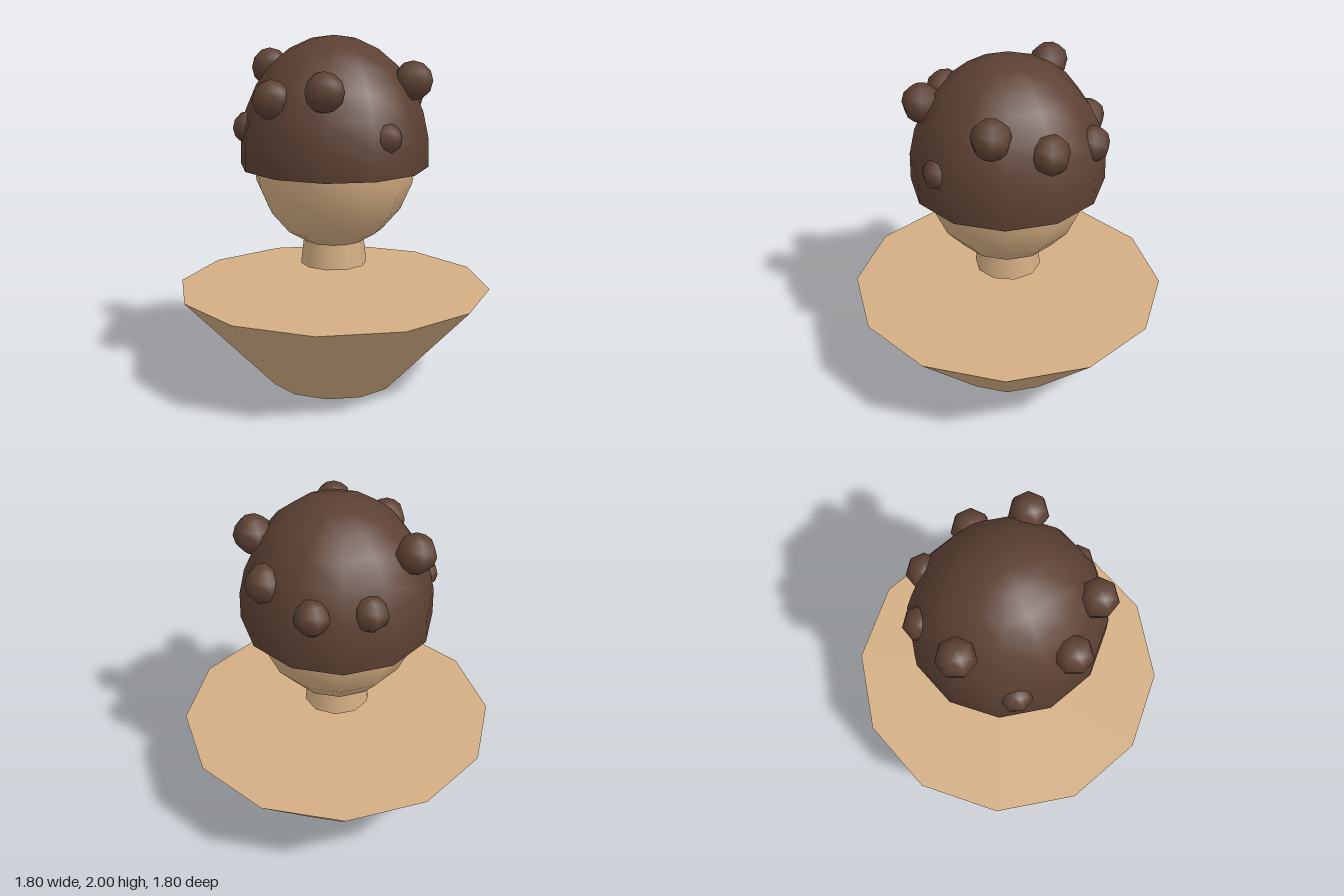
import * as THREE from 'three';

export function createModel() {
  const model = new THREE.Group();
  const skin = new THREE.MeshStandardMaterial({ color: 0xd2ad82 });
  skin.name = 'tan skin';
  const hair = new THREE.MeshStandardMaterial({ color: 0x5c4033, side: THREE.DoubleSide });
  hair.name = 'dark brown hair';

  function add(name, geometry, material, x, y, z, sx = 1, sy = 1, sz = 1) {
    const mesh = new THREE.Mesh(geometry, material);
    mesh.name = name;
    mesh.position.set(x, y, z);
    mesh.scale.set(sx, sy, sz);
    model.add(mesh);
  }

  // Shoulders: twelve-sided bust that narrows to the ground
  add('shoulders', new THREE.CylinderGeometry(0.9, 0.37, 0.56, 12), skin, 0, 0.28, 0);

  // Neck, floating above the shoulders and running up into the head
  add('neck', new THREE.CylinderGeometry(0.16, 0.19, 0.25, 10), skin, 0, 0.825, 0);

  // Egg-shaped head
  add('head', new THREE.SphereGeometry(1, 12, 10), skin, 0, 1.34, 0, 0.468, 0.54, 0.475);

  // Hair cap: open dome reaching just past its widest ring
  const dome = new THREE.SphereGeometry(1, 12, 7, 0, Math.PI * 2, 0, Math.PI * 0.534);
  add('hairCap', dome, hair, 0, 1.34, 0, 0.535, 0.66, 0.55);

  // Curls half sunk into the cap: x, y, z, radius
  const curls = [
    [0.345, 1.76, 0.29, 0.11],
    [0.09, 1.48, 0.465, 0.09],
    [-0.235, 1.735, 0.4, 0.11],
    [-0.435, 1.68, 0.16, 0.108],
    [-0.45, 1.49, -0.17, 0.09],
    [-0.23, 1.8, -0.395, 0.11],
    [0.09, 1.585, -0.455, 0.1],
    [0.355, 1.577, -0.317, 0.1],
    [0.445, 1.64, 0, 0.11],
  ];
  const ball = new THREE.SphereGeometry(1, 7, 6);
  curls.forEach(([x, y, z, r], i) => add(`curl${i + 1}`, ball, hair, x, y, z, r, r, r));

  return model;
}
